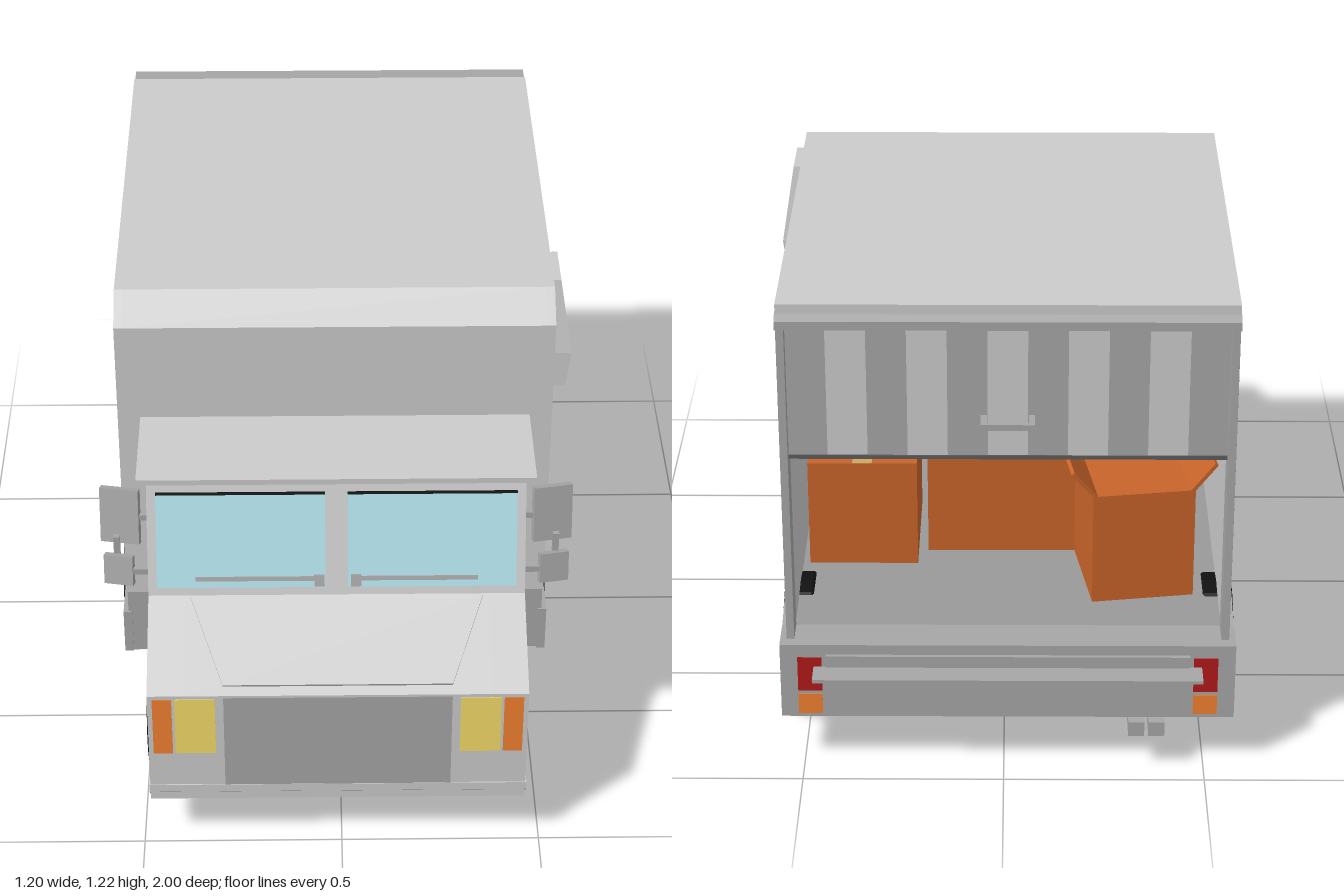
import * as THREE from 'three';
import { ConvexGeometry } from 'three/addons/geometries/ConvexGeometry.js';

const mat = (color) => new THREE.MeshStandardMaterial({ color, flatShading: true });
const M = {
  grey: mat(0xcccccc), mid: mat(0xa6a6a6), dark: mat(0x5c5c5c), black: mat(0x101010), glass: mat(0xb0dfea),
  yellow: mat(0xf4da68), orange: mat(0xf08030), red: mat(0xb01818), card: mat(0xc8642a), tape: mat(0xd0a860),
  floor: new THREE.MeshStandardMaterial({ color: 0x999999, side: THREE.DoubleSide }),
};
const V = (x, y, z) => new THREE.Vector3(x, y, z);

export function createModel() {
  const model = new THREE.Group();
  model.name = 'deliveryTruck';
  const body = new THREE.Group();
  body.name = 'body';
  body.position.x = -0.01;
  model.add(body);

  const add = (name, geo, m, parent = body) => {
    const mesh = new THREE.Mesh(geo, m);
    mesh.name = name;
    parent.add(mesh);
    return mesh;
  };
  // Box given by its limits on each axis
  const box = (name, m, x0, x1, y0, y1, z0, z1, parent = body) => {
    const b = add(name, new THREE.BoxGeometry(Math.abs(x1 - x0), y1 - y0, z1 - z0), m, parent);
    b.position.set((x0 + x1) / 2, (y0 + y1) / 2, (z0 + z1) / 2);
    return b;
  };
  const extrude = (pts, depth) => new THREE.ExtrudeGeometry(
    new THREE.Shape(pts.map((p) => new THREE.Vector2(...p))), { depth, bevelEnabled: false });
  // Side profile of (z, y) points swept from x0 to x1
  const sweep = (name, m, pts, x0, x1) => {
    const a = Math.min(x0, x1), b = Math.max(x0, x1);
    return add(name, extrude(pts, b - a).rotateY(-Math.PI / 2).translate(b, 0, 0), m);
  };
  // Plan outline of (x, z) points raised from y0 to y1
  const rise = (name, m, pts, y0, y1) =>
    add(name, extrude(pts, y1 - y0).rotateX(Math.PI / 2).translate(0, y1, 0), m);
  // Wheel cut-out, running from front to back
  const arch = (c, w = 1, top = 0.338) => [[0.18, 0.14], [0.16, 0.25], [0.085, top], [-0.085, top], [-0.16, 0.25], [-0.18, 0.14]]
    .map(([z, y]) => [c + z * w, y]);

  // Cab
  const cabTop = [[0.405, 0.14], [0.405, 0.885], [0.67, 0.885], [0.76, 0.6], [0.997, 0.47], [0.997, 0.14]];
  sweep('cabCore', M.grey, cabTop, -0.38, 0.38);
  box('cabRoof', M.grey, -0.495, 0.495, 0.88, 0.895, 0.4, 0.68);
  sweep('frontBumper', M.grey, [[1, 0.187], [1, 0.165], [0.97, 0.133], [0.82, 0.133], [0.82, 0.187]], -0.473, 0.473);
  box('grille', M.mid, -0.282, 0.282, 0.187, 0.465, 0.97, 0.999);
  add('hoodPanel', new ConvexGeometry([-1, 1].flatMap((s) => [0.007, -0.02].flatMap((d) => [
    V(s * 0.365, 0.597 + d, 0.765 + d / 2), V(s * 0.283, 0.482 + d, 0.975 + d / 2)]))), M.grey);

  // Windscreen, leaning back with the cab front
  const screen = new THREE.Group();
  screen.name = 'windscreen';
  screen.position.set(0, 0.6, 0.76);
  screen.rotation.x = -0.306;
  body.add(screen);

  for (const s of [-1, 1]) {
    sweep('cabSide', M.grey, [...cabTop, ...arch(0.635, 0.92, 0.322)], s * 0.38, s * 0.47);
    sweep('sideWindow', M.glass, [[0.42, 0.62], [0.42, 0.865], [0.645, 0.865], [0.72, 0.62]], s * 0.46, s * 0.472);
    box('windscreenPane', M.glass, s * 0.028, s * 0.448, 0.021, 0.268, -0.01, 0.003, screen);
    box('windscreenTrim', M.black, s * 0.028, s * 0.448, 0.264, 0.27, -0.01, 0.006, screen);
    box('headlight', M.yellow, s * 0.303, s * 0.403, 0.29, 0.46, 0.97, 0.999);
    box('indicator', M.orange, s * 0.41, s * 0.458, 0.29, 0.46, 0.97, 0.999);
    const inner = s < 0 ? 0.03 : 0.035;
    box('wiperBlade', M.mid, s * inner, s * 0.352, 0.04, 0.05, 0.004, 0.01, screen);
    box('wiperBase', M.mid, s * inner, s * (inner + 0.026), 0.026, 0.054, 0.003, 0.014, screen);

    // Door mirrors
    for (const [w, h, x, y, z] of [[0.1, 0.145, 0.538, 0.777, 0.66], [0.075, 0.078, 0.543, 0.643, 0.705]]) {
      const mirror = new THREE.Group();
      mirror.name = 'doorMirror';
      mirror.position.set(s * x, y, z);
      mirror.rotation.set(-0.2, s * 0.25, 0);
      body.add(mirror);
      box('mirrorShell', M.mid, -w / 2, w / 2, -h / 2, h / 2, -0.009, 0.009, mirror);
      box('mirrorGlass', M.glass, -w / 2 + 0.007, w / 2 - 0.007, -h / 2 + 0.007, h / 2 - 0.007, -0.011, -0.008, mirror);
      box('mirrorArm', M.mid, s * 0.46, s * 0.515, y - 0.008, y + 0.008, z, z + 0.014);
    }
    box('mirrorPost', M.mid, s * 0.54, s * 0.556, 0.66, 0.73, 0.675, 0.69);
  }

  // Cargo box: roof and front wall as one bent sheet, with a trim strip at the rear
  sweep('cargoRoofAndFront', M.grey, [[-0.83, 1.22], [0.31, 1.22], [0.39, 1.155], [0.39, 0.14],
    [0.37, 0.14], [0.37, 1.145], [0.3, 1.2], [-0.83, 1.2]], -0.532, 0.532);
  sweep('rearRoofTrim', M.mid, [[-0.83, 1.22], [-0.88, 1.218], [-0.9, 1.207], [-0.9, 1.185], [-0.83, 1.185]], -0.55, 0.55);
  const floor = add('cargoFloor', new THREE.PlaneGeometry(1.07, 1.27).rotateX(-Math.PI / 2), M.floor);
  floor.position.set(0, 0.335, -0.265);

  // Underbody between the wheel channels
  const [frontArch, rearArch] = [arch(0.09), arch(-0.605)];
  sweep('underbodyFront', M.mid, [[0.395, 0.14], [0.395, 0.333], frontArch[2], frontArch[1], frontArch[0]]
    .map(([z, y]) => [z, Math.min(y, 0.333)]), -0.55, 0.55);
  sweep('underbodyMiddle', M.mid, [...frontArch.slice(3), ...rearArch.slice(0, 3)]
    .map(([z, y]) => [z, Math.min(y, 0.333)]), -0.55, 0.55);

  for (const s of [-1, 1]) {
    sweep('cargoSide', M.grey, [[0.39, 0.14], ...frontArch, ...rearArch, [-0.83, 0.14],
      [-0.83, 1.22], [0.31, 1.22], [0.39, 1.155]], s * 0.532, s * 0.553);
    sweep('wheelSkirt', M.mid, [[0.4, 0.14], ...frontArch, ...rearArch, [-0.83, 0.14],
      [-0.83, 0.345], [-0.71, 0.378], [-0.5, 0.378], [-0.4, 0.27], [-0.11, 0.27],
      [-0.01, 0.378], [0.19, 0.378], [0.3, 0.27], [0.4, 0.27]], s * 0.54, s * 0.563);
    rise('rearPost', M.mid, [[s * 0.553, -0.83], [s * 0.547, -0.9], [s * 0.528, -0.9], [s * 0.528, -0.83]], 0.34, 1.207);
    box('tailLight', M.red, s * 0.46, s * 0.52, 0.215, 0.31, -0.932, -0.92);
    box('rearIndicator', M.orange, s * 0.46, s * 0.52, 0.15, 0.205, -0.932, -0.92);
  }

  // Side air scoop
  add('sideScoop', new ConvexGeometry([[1.2, 0.105, 0.245, 0.575], [1, 0.07, 0.275, 0.607], [0.9, 0.07, 0.275, 0.595]]
    .flatMap(([y, z0, z1, x]) => [V(0.545, y, z0), V(0.545, y, z1), V(x, y, z0), V(x, y, z1)])), M.grey);

  // Half-raised rear door made of alternating slats
  for (let i = 0; i < 11; i++) {
    const x = -0.53 + i * 0.0964;
    box('rearDoorSlat', i % 2 ? M.grey : M.mid, x, x + 0.0964, 0.84, 1.19, -0.87, i % 2 ? -0.855 : -0.857);
  }
  box('doorEdge', M.dark, -0.53, 0.53, 0.832, 0.842, -0.873, -0.852);
  box('doorHandle', M.mid, -0.065, 0.065, 0.935, 0.95, -0.925, -0.913);
  for (const s of [-1, 1]) box('handleMount', M.mid, s * 0.05, s * 0.065, 0.935, 0.95, -0.92, -0.865);

  // Rear bumper, step and exhausts
  box('rearBumper', M.mid, -0.563, 0.563, 0.14, 0.345, -0.93, -0.83);
  box('stepBack', M.mid, -0.45, 0.45, 0.25, 0.318, -0.94, -0.925);
  box('rearStep', M.mid, -0.48, 0.48, 0.278, 0.287, -1, -0.935);
  for (const x of [-0.37, -0.32]) box('exhaust', M.mid, x - 0.02, x + 0.02, 0.1, 0.14, -0.955, -0.8);

  // Wheels: lathed tyre with a recessed wall and a hub
  const addWheel = (s, x, z, r, w) => {
    const wheel = new THREE.Group();
    wheel.name = 'wheel';
    wheel.position.set(s * x, r, z);
    wheel.rotation.z = -s * Math.PI / 2;
    body.add(wheel);
    const h = w / 2;
    const profile = [[0, -h], [r * 0.98, -h], [r, -h * 0.85], [r, h * 0.85], [r * 0.98, h], [r * 0.62, h],
      [r * 0.58, h - 0.008], [0, h - 0.008]].map((p) => new THREE.Vector2(...p));
    add('tyre', new THREE.LatheGeometry(profile, 20), M.black, wheel);
    add('hub', new THREE.CylinderGeometry(0.047, 0.052, 0.012, 16), M.mid, wheel).position.y = h - 0.006;
  };
  for (const s of [-1, 1]) {
    addWheel(s, 0.455, 0.635, 0.163, 0.064);
    for (const z of [0.09, -0.605]) addWheel(s, 0.533, z, 0.174, 0.075);
  }

  // Parcels on the cargo floor
  const parcel = (x, z, w, h, d, turn, open) => {
    const p = new THREE.Group();
    p.name = 'parcel';
    p.position.set(x, 0.336, z);
    p.rotation.y = turn;
    body.add(p);
    box('carton', M.card, -w / 2, w / 2, 0, h, -d / 2, d / 2, p);
    if (open) {
      for (const s of [-1, 1]) {
        const flap = box('flap', M.card, -0.005, 0.005, 0, 0.1, -d / 2, d / 2, p);
        flap.position.set(s * (w / 2 + 0.02), h + 0.03, 0);
        flap.rotation.z = -s * 0.7;
      }
    } else {
      box('tapeTop', M.tape, -0.025, 0.025, h - 0.01, h + 0.002, -d / 2, d / 2, p);
    }
  };
  parcel(0.375, -0.33, 0.28, 0.29, 0.34, 0, false);
  parcel(-0.01, -0.25, 0.44, 0.27, 0.36, 0, false);
  parcel(-0.32, -0.54, 0.26, 0.3, 0.28, 0.15, true);
  return model;
}
